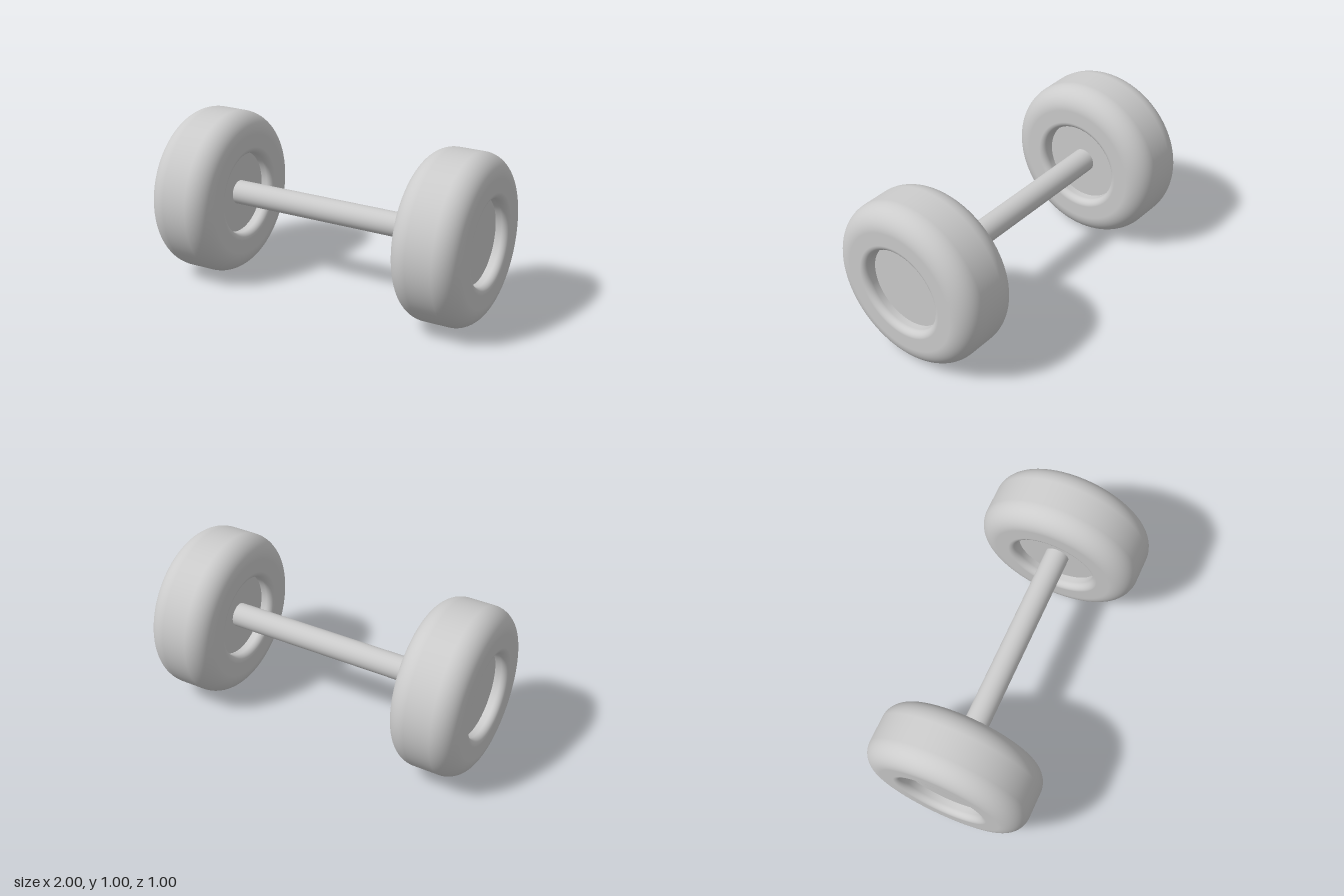
import * as THREE from 'three';

const material = new THREE.MeshStandardMaterial({ color: 0xcccccc });

const WHEEL_X = 0.7925;   // wheel centre
const HALF_W = 0.2075;    // half the tyre width
const OUTER_R = 0.5;
const HUB_R = 0.25;
const HUB_HALF = 0.13;    // the hub faces sit back from the tyre walls
const OUTER_FILLET = 0.13;
const INNER_FILLET = 0.04;

function addPart(parent, name, geometry) {
  const mesh = new THREE.Mesh(geometry, material);
  mesh.name = name;
  parent.add(mesh);
  return mesh;
}

// Rounded tyre section, turned about the axle
function tyreGeometry() {
  const o = OUTER_FILLET, i = INNER_FILLET;
  const section = new THREE.Shape();
  section.moveTo(HUB_R, -HALF_W + i);
  section.absarc(HUB_R + i, -HALF_W + i, i, Math.PI, Math.PI * 1.5, false);
  section.absarc(OUTER_R - o, -HALF_W + o, o, -Math.PI / 2, 0, false);
  section.absarc(OUTER_R - o, HALF_W - o, o, 0, Math.PI / 2, false);
  section.absarc(HUB_R + i, HALF_W - i, i, Math.PI / 2, Math.PI, false);
  section.lineTo(HUB_R, -HALF_W + i);
  return new THREE.LatheGeometry(section.getPoints(12), 96).rotateZ(-Math.PI / 2);
}

export function createModel() {
  const model = new THREE.Group();
  model.name = 'wheelAxle';

  // Axle, ending just inside the hubs
  const axleLength = 2 * (WHEEL_X - HUB_HALF) + 0.04;
  const axle = addPart(model, 'axle',
    new THREE.CylinderGeometry(0.073, 0.073, axleLength, 48).rotateZ(Math.PI / 2));
  axle.position.y = OUTER_R;

  // Wheels: tyre and recessed hub
  const tyre = tyreGeometry();
  const hub = new THREE.CylinderGeometry(HUB_R, HUB_R, 2 * HUB_HALF, 96).rotateZ(Math.PI / 2);
  for (const [name, side] of [['leftWheel', 1], ['rightWheel', -1]]) {
    const wheel = new THREE.Group();
    wheel.name = name;
    wheel.position.set(side * WHEEL_X, OUTER_R, 0);
    addPart(wheel, 'tyre', tyre);
    addPart(wheel, 'hub', hub);
    model.add(wheel);
  }
  return model;
}
